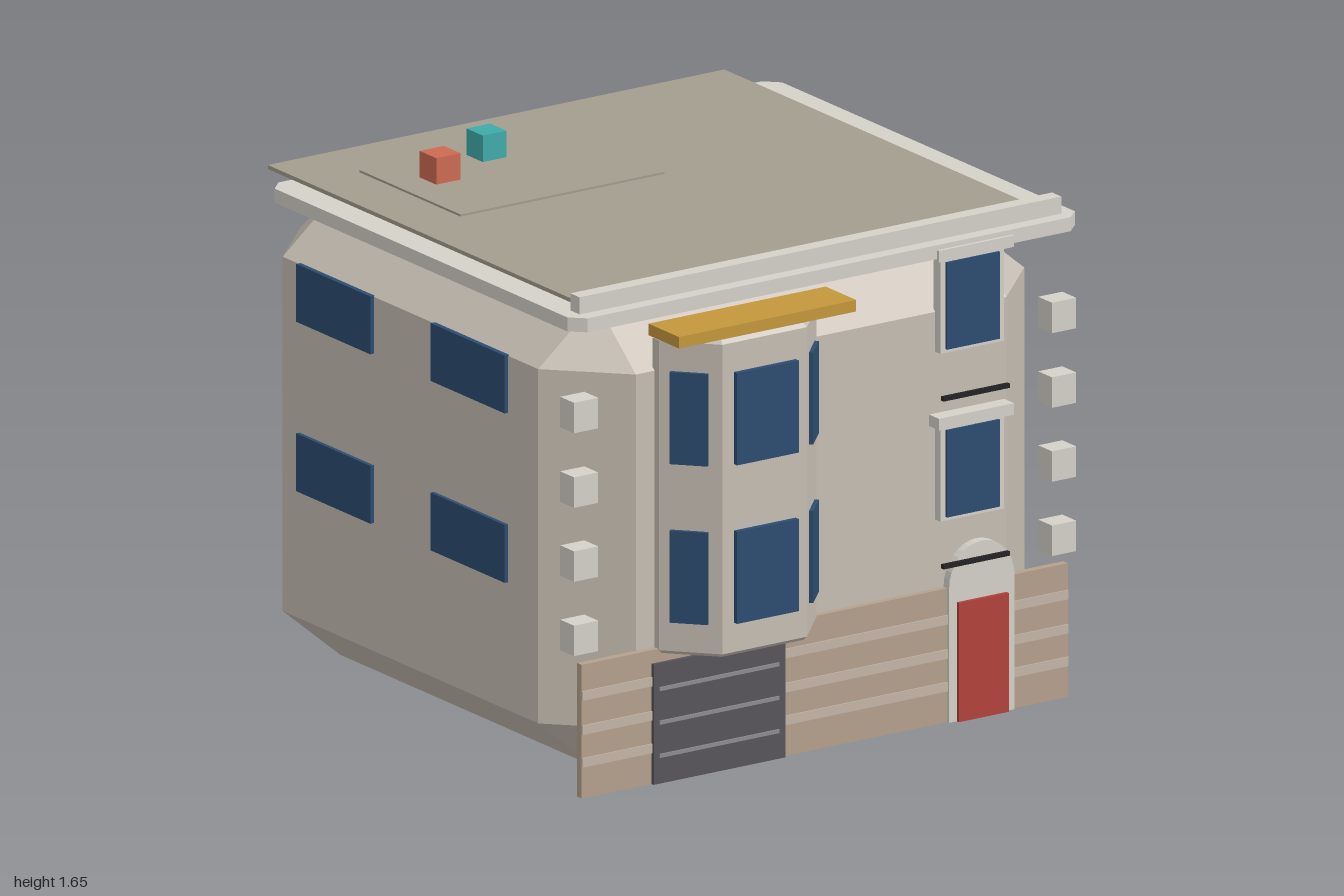
import * as THREE from 'three';
import { ConvexGeometry } from 'three/addons/geometries/ConvexGeometry.js';

const material = (color) => new THREE.MeshStandardMaterial({ color, flatShading: true });
const WALL = material(0xc6beb3), TRIM = material(0xd4d1c8), GLASS = material(0x2c4c70);
const BRICK = material(0xb5a18d), BAND = material(0xc3b6a6), ROOF = material(0xa39d8e);
const SHUTTER = material(0x57545b), SLAT = material(0x8e8b92), DOOR = material(0xb2423a);
const GOLD = material(0xc4973c), RAIL = material(0x222222);
const CORAL = material(0xcc6a52), TEAL = material(0x3fabaa);

export function createModel() {
  const house = new THREE.Group();
  house.name = 'townhouse';

  const add = (name, geometry, mat) => {
    const mesh = new THREE.Mesh(geometry, mat);
    mesh.name = name;
    house.add(mesh);
    return mesh;
  };
  // Box given by its minimum and maximum on each axis
  const box = (name, mat, [x0, x1], [y0, y1], [z0, z1]) => {
    const mesh = add(name, new THREE.BoxGeometry(x1 - x0, y1 - y0, z1 - z0), mat);
    mesh.position.set((x0 + x1) / 2, (y0 + y1) / 2, (z0 + z1) / 2);
    return mesh;
  };
  // Plan outline in (x, z) raised from y0 to y1
  const prism = (name, mat, plan, y0, y1, bevel = 0) => {
    const shape = new THREE.Shape(plan.map(([x, z]) => new THREE.Vector2(x, -z)));
    const geometry = new THREE.ExtrudeGeometry(shape, {
      depth: y1 - y0 - 2 * bevel, bevelEnabled: bevel > 0, bevelSize: bevel,
      bevelThickness: bevel, bevelOffset: -bevel, bevelSegments: 1,
    });
    geometry.rotateX(-Math.PI / 2).translate(0, y0 + bevel, 0);
    return add(name, geometry, mat);
  };

  // Main body: a block with every edge chamfered
  const corners = [];
  const [hx, hy, hz, cut, cutY] = [0.905, 0.75, 0.905, 0.215, 0.18];
  for (const sx of [-1, 1]) for (const sy of [-1, 1]) for (const sz of [-1, 1]) {
    corners.push(
      new THREE.Vector3(sx * hx, sy * (hy - cutY), sz * (hz - cut)),
      new THREE.Vector3(sx * (hx - cut), sy * hy, sz * (hz - cut)),
      new THREE.Vector3(sx * (hx - cut), sy * (hy - cutY), sz * hz),
    );
  }
  add('body', new ConvexGeometry(corners), WALL).position.set(0, hy, -0.095);

  // Ground floor front with bands
  box('groundFloorFront', BRICK, [-0.905, 0.905], [0, 0.43], [0.805, 0.83]);
  for (const y of [0.115, 0.22, 0.33]) {
    box('brickBand', BAND, [-0.905, 0.905], [y - 0.015, y + 0.015], [0.82, 0.834]);
  }

  // Garage shutter
  box('garageDoor', SHUTTER, [-0.645, -0.155], [0, 0.387], [0.82, 0.842]);
  for (const y of [0.09, 0.197, 0.305]) {
    box('garageSlat', SLAT, [-0.625, -0.18], [y - 0.006, y + 0.006], [0.835, 0.847]);
  }

  // Entrance with arched surround
  const arch = new THREE.Shape();
  arch.moveTo(0.455, 0);
  arch.lineTo(0.7, 0);
  arch.lineTo(0.7, 0.43);
  arch.absellipse(0.578, 0.43, 0.122, 0.135, 0, Math.PI, false);
  arch.closePath();
  const archGeometry = new THREE.ExtrudeGeometry(arch, { depth: 0.035, bevelEnabled: false, curveSegments: 8 });
  add('doorSurround', archGeometry, TRIM).position.z = 0.805;
  box('frontDoor', DOOR, [0.485, 0.67], [0, 0.383], [0.825, 0.852]);

  // Corner stones
  for (const side of [-1, 1]) for (const y of [0.513, 0.752, 0.99, 1.23]) {
    const x = side * 0.89;
    box('cornerStone', TRIM, [x - 0.045, x + 0.045], [y - 0.049, y + 0.049], [0.757, 0.832]);
  }

  // Bay with three windows on each floor
  const bayX = -0.327;
  prism('bay', WALL, [[-0.62, 0.8], [-0.62, 0.835], [-0.485, 0.98], [-0.17, 0.98], [-0.035, 0.835], [-0.035, 0.8]],
    0.415, 1.435, 0.012);
  for (const y of [0.67, 1.18]) {
    box('bayWindow', GLASS, [bayX - 0.115, bayX + 0.115], [y - 0.148, y + 0.148], [0.965, 0.998]);
    for (const side of [-1, 1]) {
      const pane = add('baySideWindow', new THREE.BoxGeometry(0.12, 0.296, 0.025), GLASS);
      pane.position.set(bayX + side * 0.228, y, 0.905);
      pane.rotation.y = side * 0.82;
    }
  }
  box('bayCanopy', GOLD, [-0.66, 0], [1.448, 1.485], [0.835, 1]);

  // Narrow windows above the entrance
  for (const y of [0.652, 1.192]) {
    box('windowFrame', TRIM, [0.425, 0.662], [y, y + 0.305], [0.8, 0.838]);
    box('windowGlass', GLASS, [0.445, 0.642], [y + 0.012, y + 0.292], [0.82, 0.846]);
    box('windowLintel', TRIM, [0.402, 0.682], [y + 0.305, y + 0.342], [0.8, 0.864]);
    box('windowRail', RAIL, [0.418, 0.665], [y - 0.145, y - 0.131], [0.852, 0.866]);
  }

  // Side windows
  for (const side of [-1, 1]) for (const y of [0.685, 1.23]) for (const z of [0.233, -0.493]) {
    const x = side * 0.9;
    box('sideWindow', GLASS, [x - 0.018, x + 0.018], [y - 0.093, y + 0.093], [z - 0.2, z + 0.2]);
  }

  // Cornice, roof slab and parapet
  prism('cornice', TRIM, [[-0.945, -0.77], [-0.945, 0.81], [-0.9, 0.853], [0.9, 0.853],
    [0.945, 0.81], [0.945, -0.77], [0.9, -0.815], [-0.9, -0.815]], 1.505, 1.55);
  box('roof', ROOF, [-0.85, 0.85], [1.55, 1.563], [-0.945, 0.79]);
  box('roofTerrace', ROOF, [-0.66, 0.1], [1.56, 1.57], [-0.725, -0.18]);
  box('parapet', TRIM, [-0.897, 0.897], [1.548, 1.605], [0.757, 0.807]);

  // Roof boxes
  box('coralRoofBox', CORAL, [-0.55, -0.46], [1.565, 1.655], [-0.56, -0.47]);
  box('tealRoofBox', TEAL, [-0.303, -0.215], [1.565, 1.655], [-0.665, -0.577]);

  return house;
}
